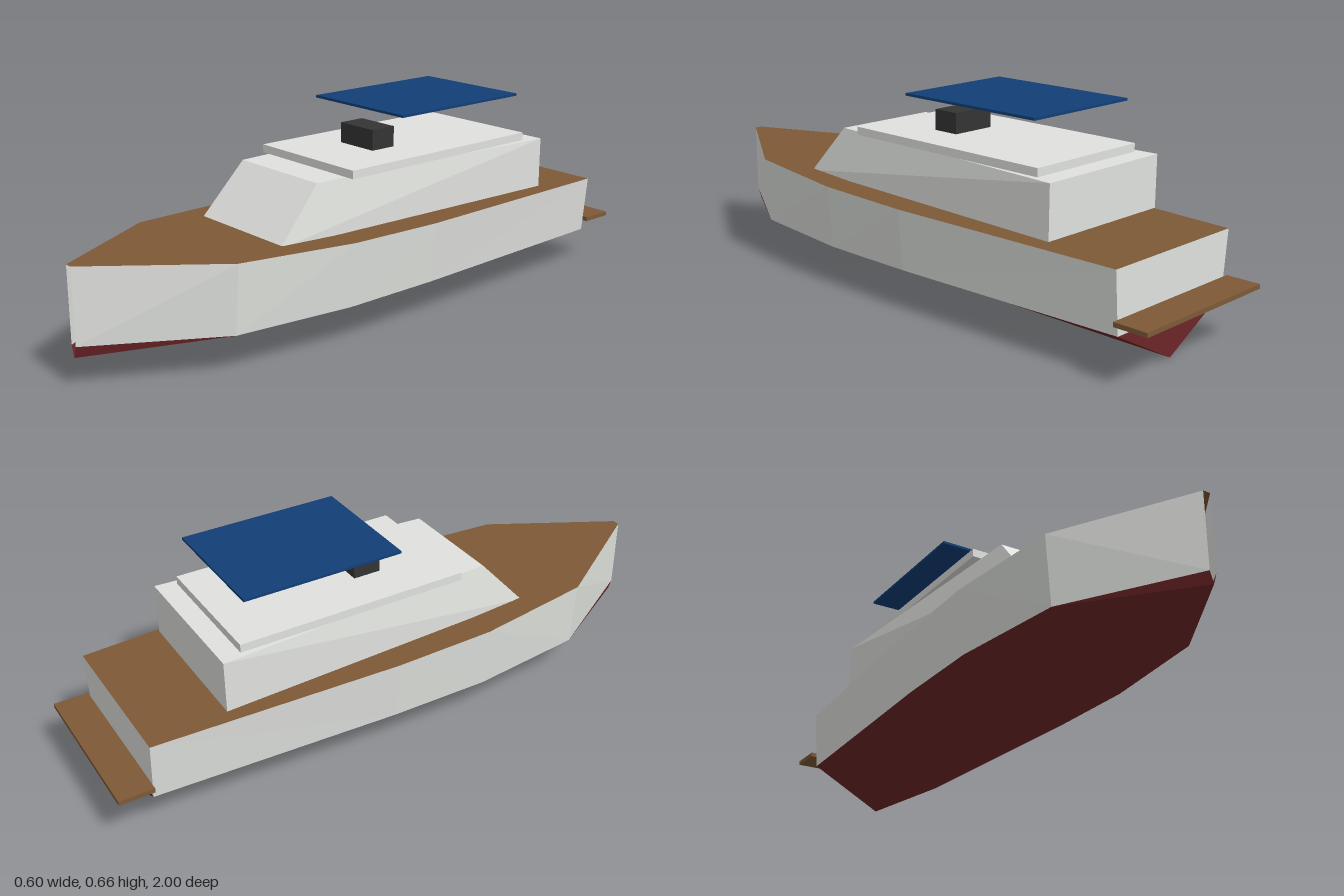
import * as THREE from 'three';

const paint = (name, color, side = THREE.FrontSide) => {
  const m = new THREE.MeshStandardMaterial({ color, side });
  m.name = name;
  return m;
};

// Flat-shaded mesh from a list of triangles
function facets(name, triangles, material) {
  const geo = new THREE.BufferGeometry();
  geo.setAttribute('position', new THREE.Float32BufferAttribute(triangles.flat(2), 3));
  geo.computeVertexNormals();
  const mesh = new THREE.Mesh(geo, material);
  mesh.name = name;
  return mesh;
}

// Skin between aft-to-fore sections, each running counter-clockwise seen from
// the bow; quads are split alike on both sides of the centre line
function loft(sections) {
  const tris = [];
  for (let s = 0; s < sections.length - 1; s++) {
    const a = sections[s], b = sections[s + 1];
    for (let i = 0; i < a.length - 1; i++) {
      const [p, q, r, t] = [b[i], a[i], a[i + 1], b[i + 1]];
      if (q[0] < 0) tris.push([p, q, t], [q, r, t]);
      else tris.push([p, q, r], [p, r, t]);
    }
  }
  return tris;
}

export function createModel() {
  const white = paint('white', 0xe0e2de, THREE.DoubleSide);
  const red = paint('bottom red', 0x6e2628, THREE.DoubleSide);
  const wood = paint('deck wood', 0x7d5936, THREE.DoubleSide);
  const blue = paint('canopy blue', 0x123e76);
  const black = paint('console black', 0x343434);

  const boat = new THREE.Group();
  boat.name = 'motorYacht';

  // Hull stations: z, deck half width, deck height, keel height
  const chineY = 0.13;
  const stations = [
    [-0.89, 0.26, 0.32, 0],
    [-0.1, 0.298, 0.327, 0],
    [0.23, 0.3, 0.335, 0],
    [0.62, 0.252, 0.348, 0.047],
    [1, 0.012, 0.364, 0.094],
  ].map(([z, w, top, keel]) => ({
    deckL: [w, top, z], deckR: [-w, top, z],
    chineL: [w * 0.933, chineY, z], chineR: [-w * 0.933, chineY, z],
    keel: [0, keel, z],
  }));
  const sections = (...keys) => stations.map(s => keys.map(k => s[k]));
  boat.add(
    facets('hullBottom', loft(sections('chineR', 'keel', 'chineL')), red),
    facets('hullSideLeft', loft(sections('chineL', 'deckL')), white),
    facets('hullSideRight', loft(sections('deckR', 'chineR')), white),
    facets('deck', loft(sections('deckL', 'deckR')), wood),
  );

  // Transom, split at the waterline
  const s = stations[0];
  boat.add(
    facets('transom', [[s.chineL, s.chineR, s.deckR], [s.chineL, s.deckR, s.deckL]], white),
    facets('transomBottom', [[s.chineL, s.keel, s.chineR]], red),
  );

  // Cabin with raked front, tapering forward
  const ring = (wb, zb, wt, zt) => {
    const r = [[wb, 0.335, zb], [wt, 0.5, zt], [-wt, 0.5, zt], [-wb, 0.335, zb]];
    return [...r, r[0]];
  };
  const aft = ring(0.242, -0.645, 0.242, -0.645);
  const fore = ring(0.197, 0.43, 0.182, 0.28);
  boat.add(facets('cabin', [
    ...loft([aft, fore]),
    [fore[0], fore[1], fore[2]], [fore[0], fore[2], fore[3]],
    [aft[0], aft[2], aft[1]], [aft[0], aft[3], aft[2]],
  ], white));

  // Boxes by half width, vertical range and fore-aft range
  const slab = (name, w, y0, y1, z0, z1, material) => {
    const mesh = new THREE.Mesh(new THREE.BoxGeometry(2 * w, y1 - y0, z1 - z0), material);
    mesh.position.set(0, (y0 + y1) / 2, (z0 + z1) / 2);
    mesh.name = name;
    boat.add(mesh);
  };
  slab('cabinRoof', 0.218, 0.5, 0.526, -0.58, 0.172, white);
  slab('helmConsole', 0.076, 0.526, 0.592, -0.125, -0.035, black);
  slab('canopy', 0.206, 0.652, 0.66, -0.555, -0.04, blue);
  slab('swimPlatform', 0.265, 0.164, 0.178, -1, -0.89, wood);

  return boat;
}
